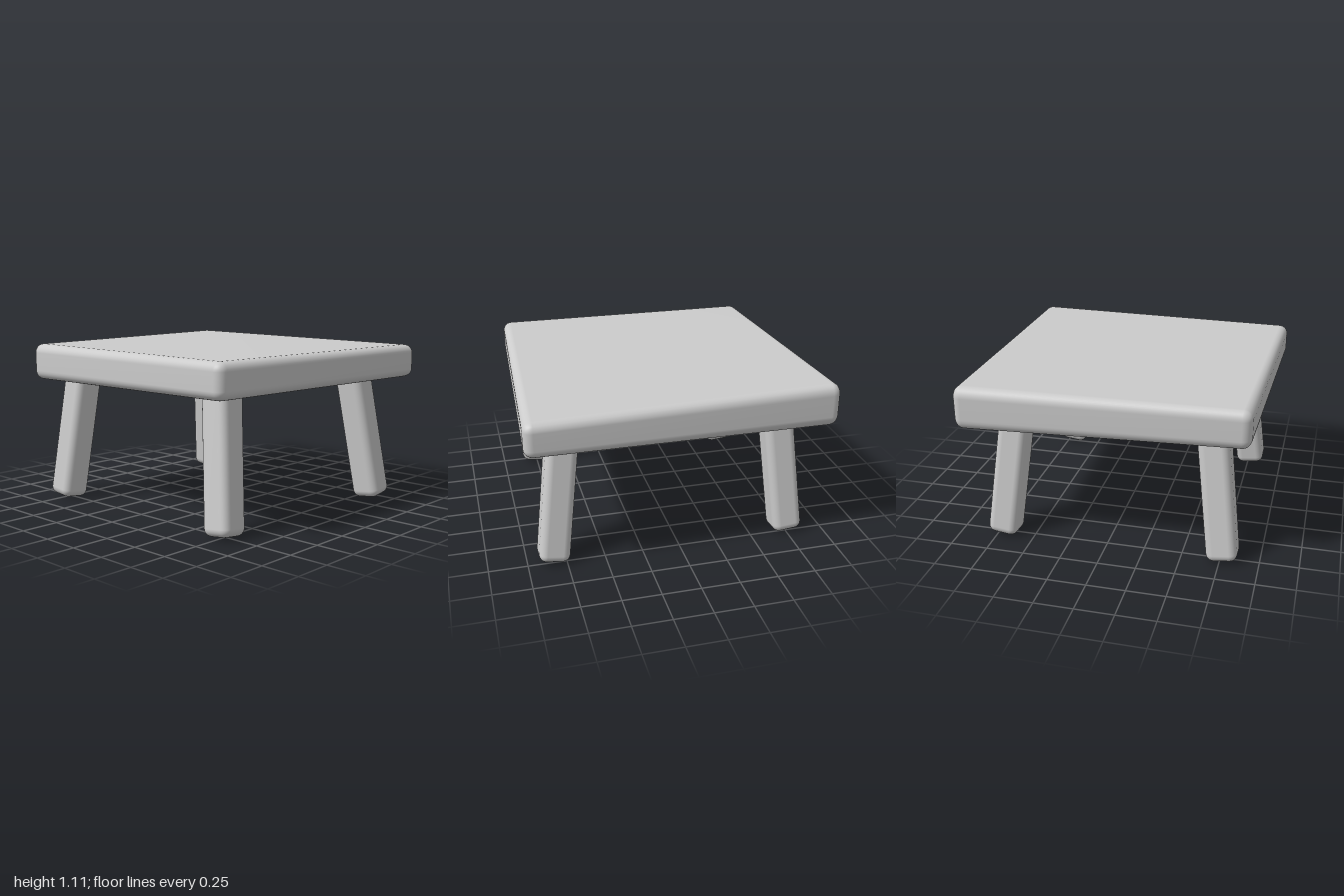
import * as THREE from 'three';
import { RoundedBoxGeometry } from 'three/addons/geometries/RoundedBoxGeometry.js';
import { mergeVertices } from 'three/addons/utils/BufferGeometryUtils.js';

const material = new THREE.MeshStandardMaterial({ color: 0xcccccc });
const lerp = THREE.MathUtils.lerp;

// Blend four corner values [backLeft, backRight, frontLeft, frontRight] as seen from above
const blend = (c, u, v) => lerp(lerp(c[0], c[1], u), lerp(c[2], c[3], u), v);

// Thick slab with softened edges, its corners pulled into an uneven handmade shape
function createTop() {
  const w = 1.9, h = 0.24, d = 1.92;
  let geo = new RoundedBoxGeometry(w, h, d, 4, 0.06);
  const x = [-0.92, 0.915, -0.975, 0.97];
  const z = [-0.92, -1.0, 0.915, 1.0];
  const upper = [1.09, 1.11, 1.08, 1.08];
  const lower = [0.845, 0.825, 0.855, 0.855];
  const p = geo.attributes.position;
  for (let i = 0; i < p.count; i++) {
    const u = p.getX(i) / w + 0.5, t = p.getY(i) / h + 0.5, v = p.getZ(i) / d + 0.5;
    p.setXYZ(i, blend(x, u, v), lerp(blend(lower, u, v), blend(upper, u, v), t), blend(z, u, v));
  }
  geo.deleteAttribute('normal');
  geo.deleteAttribute('uv');
  geo = mergeVertices(geo, 1e-4);
  geo.computeVertexNormals();
  const top = new THREE.Mesh(geo, material);
  top.name = 'tableTop';
  return top;
}

// Square rounded leg running from its foot up into the slab
function createLeg(name, foot, head) {
  const a = new THREE.Vector3(...foot), b = new THREE.Vector3(...head);
  const dir = b.clone().sub(a);
  const leg = new THREE.Mesh(new RoundedBoxGeometry(0.2, dir.length(), 0.2, 4, 0.05), material);
  leg.position.copy(a).add(b).multiplyScalar(0.5);
  leg.quaternion.setFromUnitVectors(new THREE.Vector3(0, 1, 0), dir.normalize());
  leg.name = name;
  return leg;
}

export function createModel() {
  const table = new THREE.Group();
  table.name = 'table';
  table.add(createTop());
  const legs = [
    ['frontLeftLeg', [0.71, 0.014, 0.833], [0.595, 0.96, 0.713]],
    ['frontRightLeg', [-0.768, 0.014, 0.762], [-0.658, 0.96, 0.638]],
    ['backLeftLeg', [0.71, 0.014, -0.754], [0.595, 0.96, -0.668]],
    ['backRightLeg', [-0.768, 0.014, -0.754], [-0.658, 0.96, -0.668]],
  ];
  for (const leg of legs) table.add(createLeg(...leg));
  return table;
}
